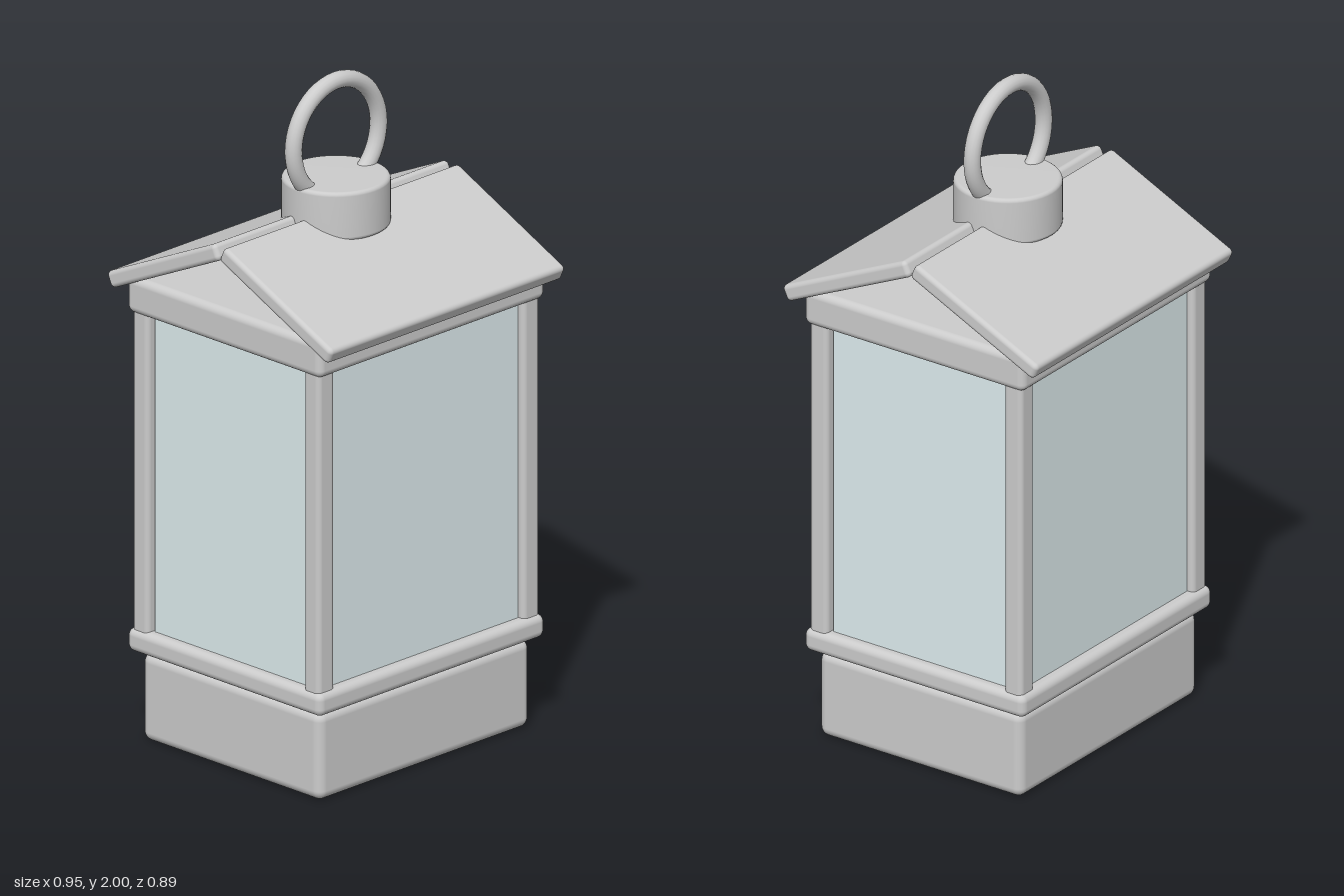
import * as THREE from 'three';
import { RoundedBoxGeometry } from 'three/addons/geometries/RoundedBoxGeometry.js';

export function createModel() {
  const lantern = new THREE.Group();
  lantern.name = 'lantern';
  const metal = new THREE.MeshStandardMaterial({ color: 0xcccccc });
  const glass = new THREE.MeshStandardMaterial({ color: 0xdeecee });

  const add = (name, geometry, x, y, z, material = metal) => {
    const mesh = new THREE.Mesh(geometry, material);
    mesh.name = name;
    mesh.position.set(x, y, z);
    lantern.add(mesh);
    return mesh;
  };
  const rounded = (w, h, d, r) => new RoundedBoxGeometry(w, h, d, 4, r);

  // Base and the two horizontal frames
  add('base', rounded(0.85, 0.265, 0.71, 0.028), 0, 0.1325, 0);
  add('lowerFrame', rounded(0.91, 0.07, 0.77, 0.022), 0, 0.305, 0);
  add('upperFrame', rounded(0.91, 0.11, 0.77, 0.022), 0, 1.35, 0);

  // Corner posts
  for (const sx of [-1, 1]) {
    for (const sz of [-1, 1]) {
      add('cornerPost', rounded(0.065, 1.0, 0.062, 0.015), sx * 0.412, 0.82, sz * 0.34);
    }
  }

  // Panes, roof panels: mirrored pairs
  const roofAngle = THREE.MathUtils.degToRad(25);
  for (const s of [-1, 1]) {
    add('widePane', new THREE.BoxGeometry(0.756, 0.97, 0.02), 0, 0.82, s * 0.34, glass);
    add('sidePane', new THREE.BoxGeometry(0.02, 0.97, 0.604), s * 0.412, 0.82, 0, glass);
    const panel = add('roofPanel', rounded(0.946, 0.05, 0.475, 0.014), 0, 1.48, s * 0.2235);
    panel.rotation.x = s * roofAngle;
  }

  // Round cap with softened rims, straddling the ridge
  const R = 0.155, low = 1.545, high = 1.692, b = 0.012;
  const profile = [new THREE.Vector2(0, low)];
  for (let i = 0; i <= 4; i++) {
    const a = -Math.PI / 2 + (i / 4) * Math.PI / 2;
    profile.push(new THREE.Vector2(R - b + b * Math.cos(a), low + b + b * Math.sin(a)));
  }
  for (let i = 0; i <= 4; i++) {
    const a = (i / 4) * Math.PI / 2;
    profile.push(new THREE.Vector2(R - b + b * Math.cos(a), high - b + b * Math.sin(a)));
  }
  profile.push(new THREE.Vector2(0, high));
  add('cap', new THREE.LatheGeometry(profile, 48), 0, 0, 0);

  // Hanging ring
  add('hangingRing', new THREE.TorusGeometry(0.171, 0.025, 16, 48), 0, 1.804, 0);

  return lantern;
}
